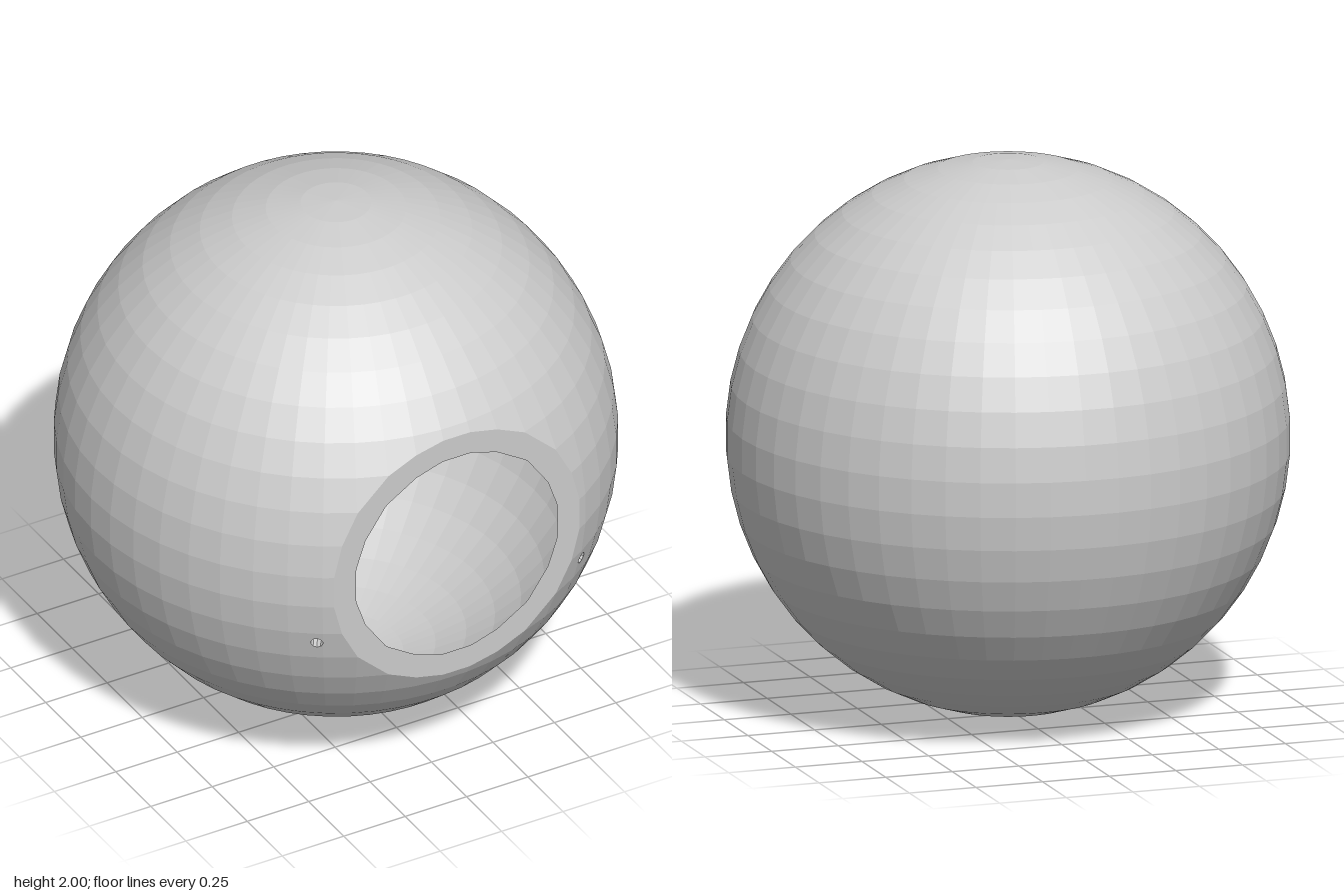
import * as THREE from 'three';

const OUTER = 1, INNER = 0.957, CUT = 0.862, COLS = 50, ROWS = 25;
const CENTRE = new THREE.Vector3(0, 1, 0.068);
const HOLE_R = 0.022, HOLE_SIDES = 10;
const HOLE_AXES = [1, -1].map(s => new THREE.Vector3(0.54 * s, -0.235, 0.81).normalize());

// Part of a convex polygon on the positive side of a plane
function clip(poly, plane) {
  const out = [];
  poly.forEach((a, i) => {
    const b = poly[(i + 1) % poly.length];
    const da = plane.distanceToPoint(a), db = plane.distanceToPoint(b);
    if (da >= 0) out.push(a);
    if (da * db < 0) out.push(a.clone().lerp(b, da / (da - db)));
  });
  return out;
}

// Side planes of a small prism along an axis, facing outward
function prismPlanes(axis) {
  const turn = new THREE.Quaternion().setFromUnitVectors(new THREE.Vector3(0, 1, 0), axis);
  return Array.from({ length: HOLE_SIDES }, (_, i) => {
    const t = (i + 0.5) / HOLE_SIDES * Math.PI * 2;
    const n = new THREE.Vector3(Math.sin(t), 0, Math.cos(t)).applyQuaternion(turn);
    return new THREE.Plane(n, -HOLE_R * Math.cos(Math.PI / HOLE_SIDES));
  });
}

// Remove a prism from a polygon, giving the pieces left around it
function pierce(poly, axis, planes) {
  const mid = poly.reduce((m, p) => m.add(p), new THREE.Vector3()).normalize();
  if (mid.dot(axis) < 0.9) return [poly];
  const pieces = [];
  let rest = poly;
  for (const plane of planes) {
    pieces.push(clip(rest, plane));
    rest = clip(rest, plane.clone().negate());
  }
  return rest.length < 3 ? [poly] : pieces.filter(p => p.length > 2);
}

// Faceted sphere cut flat at the front and pierced by the two holes
function shell(radius, inward) {
  const point = (i, j) => new THREE.Vector3().setFromSphericalCoords(
    radius, j / ROWS * Math.PI, Math.PI / 2 + i / COLS * Math.PI * 2);
  const cutPlane = new THREE.Plane(new THREE.Vector3(0, 0, -1), CUT);
  const holes = HOLE_AXES.map(axis => [axis, prismPlanes(axis)]);
  const positions = [], edge = [];
  for (let j = 0; j < ROWS; j++) {
    for (let i = 0; i < COLS; i++) {
      const quad = [point(i, j), point(i, j + 1), point(i + 1, j + 1), point(i + 1, j)];
      if (j === 0) quad.pop();
      if (j === ROWS - 1) quad.splice(2, 1);
      const face = clip(quad, cutPlane);
      if (face.length < 3) continue;
      edge.push(...face.filter(p => Math.abs(p.z - CUT) < 1e-6));
      let pieces = [face];
      for (const [axis, planes] of holes) pieces = pieces.flatMap(p => pierce(p, axis, planes));
      for (const p of pieces) {
        for (let k = 1; k < p.length - 1; k++) {
          const tri = inward ? [p[0], p[k + 1], p[k]] : [p[0], p[k], p[k + 1]];
          tri.forEach(v => positions.push(v.x, v.y, v.z));
        }
      }
    }
  }
  const geometry = new THREE.BufferGeometry();
  geometry.setAttribute('position', new THREE.Float32BufferAttribute(positions, 3));
  geometry.computeVertexNormals();
  // Outline of the flat cut, in order around the opening, without doubles
  edge.sort((a, b) => Math.atan2(a.y, a.x) - Math.atan2(b.y, b.x));
  const outline = edge.filter((p, i) => i === 0 || p.distanceTo(edge[i - 1]) > 1e-5)
    .map(p => new THREE.Vector2(p.x, p.y));
  return { geometry, outline };
}

export function createModel() {
  const model = new THREE.Group();
  model.name = 'hollowSphere';
  const material = new THREE.MeshStandardMaterial({ color: 0xcccccc, flatShading: true });
  const add = (name, geometry, mat = material) => {
    const mesh = new THREE.Mesh(geometry, mat);
    mesh.name = name;
    mesh.position.copy(CENTRE);
    model.add(mesh);
    return mesh;
  };

  // Outer and inner walls
  const outer = shell(OUTER, false), inner = shell(INNER, true);
  add('outerShell', outer.geometry);
  add('innerShell', inner.geometry);

  // Flat rim joining the two walls around the opening
  const rim = new THREE.Shape(outer.outline);
  rim.holes.push(new THREE.Path(inner.outline));
  add('openingRim', new THREE.ShapeGeometry(rim).translate(0, 0, CUT));

  // Linings of the two small holes
  const lining = new THREE.MeshStandardMaterial({
    color: 0xcccccc, flatShading: true, side: THREE.DoubleSide });
  HOLE_AXES.forEach((axis, i) => {
    const tube = new THREE.CylinderGeometry(HOLE_R, HOLE_R, OUTER - INNER, HOLE_SIDES, 1, true);
    const mesh = add(i === 0 ? 'leftHoleLining' : 'rightHoleLining', tube, lining);
    mesh.quaternion.setFromUnitVectors(new THREE.Vector3(0, 1, 0), axis);
    mesh.position.addScaledVector(axis, (OUTER + INNER) / 2 - 0.003);
  });
  return model;
}
